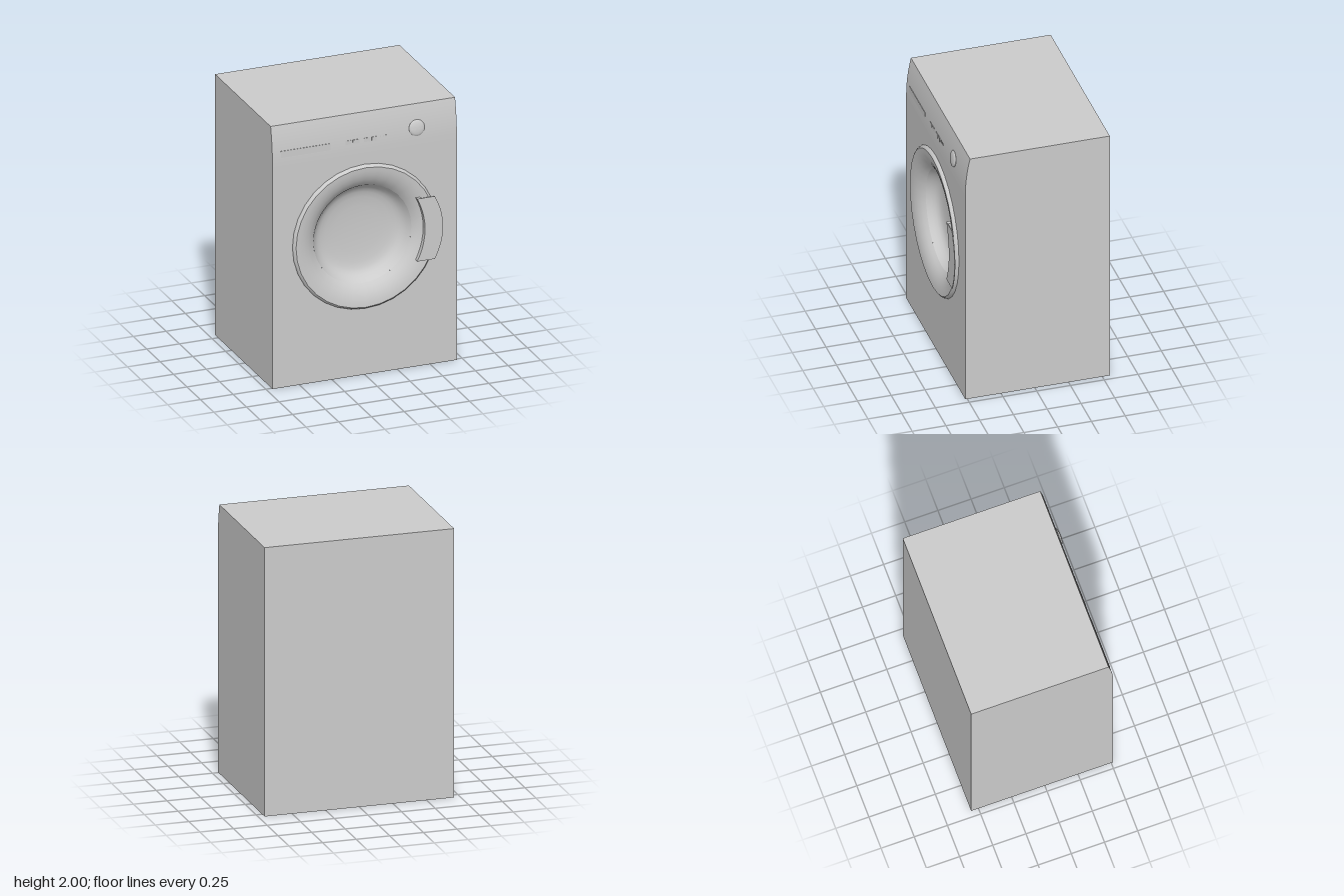
import * as THREE from 'three';
import { toCreasedNormals } from 'three/addons/utils/BufferGeometryUtils.js';

const HALF_W = 0.705, FRONT = 0.515, BACK = -0.555, HEIGHT = 2, CURVE_Y = 1.7;
const DOOR_Y = 1.06;

const grey = new THREE.MeshStandardMaterial({ color: 0xcccccc });
const greyDouble = new THREE.MeshStandardMaterial({ color: 0xcccccc, side: THREE.DoubleSide });

const v2 = (points) => points.map(([a, b]) => new THREE.Vector2(a, b));

function add(parent, name, geometry, x = 0, y = 0, z = 0, material = grey) {
  const mesh = new THREE.Mesh(geometry, material);
  mesh.name = name;
  mesh.position.set(x, y, z);
  parent.add(mesh);
  return mesh;
}

// Round part facing +z, from [radius, z] pairs
function turned(points, segments, crease) {
  const lathe = new THREE.LatheGeometry(v2(points), segments).rotateX(Math.PI / 2);
  return toCreasedNormals(lathe, crease);
}

// Cabinet walls swept across the width along a [z, y] profile
function sweepX(profile) {
  const positions = [];
  for (let i = 0; i < profile.length - 1; i++) {
    const [az, ay] = profile[i], [bz, by] = profile[i + 1];
    positions.push(-HALF_W, ay, az, HALF_W, ay, az, HALF_W, by, bz);
    positions.push(-HALF_W, ay, az, HALF_W, by, bz, -HALF_W, by, bz);
  }
  const geometry = new THREE.BufferGeometry();
  geometry.setAttribute('position', new THREE.Float32BufferAttribute(positions, 3));
  return toCreasedNormals(geometry, 0.4);
}

function createCabinet() {
  const cabinet = new THREE.Group();
  cabinet.name = 'cabinet';

  // Control fascia leans back in a gentle curve towards the top
  const profile = [];
  for (let i = 0; i <= 8; i++) {
    const t = i / 8;
    profile.push([FRONT - 0.035 * t * t, CURVE_Y + (HEIGHT - CURVE_Y) * t]);
  }
  profile.push([BACK, HEIGHT], [BACK, 0], [FRONT, 0]);
  add(cabinet, 'cabinetShell', sweepX(profile));

  // Side walls
  const side = new THREE.ShapeGeometry(new THREE.Shape(v2(profile))).rotateY(-Math.PI / 2);
  add(cabinet, 'rightWall', side, -HALF_W, 0, 0, greyDouble);
  add(cabinet, 'leftWall', side, HALF_W, 0, 0, greyDouble);

  // Front panel with the door opening
  const panel = new THREE.Shape(v2([[-HALF_W, 0], [HALF_W, 0], [HALF_W, CURVE_Y], [-HALF_W, CURVE_Y]]));
  panel.holes.push(new THREE.Path().absarc(0, DOOR_Y, 0.53, 0, Math.PI * 2, true));
  add(cabinet, 'frontPanel', new THREE.ShapeGeometry(panel, 32), 0, 0, FRONT);
  return cabinet;
}

// Handle outline: straight ends with bowed inner and outer edges
function handleShape(outerEnd, outerBow) {
  const h = 0.24;
  const shape = new THREE.Shape();
  shape.moveTo(0.385, -h);
  shape.lineTo(outerEnd, -h);
  shape.quadraticCurveTo(outerBow * 2 - outerEnd, 0, outerEnd, h);
  shape.lineTo(0.385, h);
  shape.quadraticCurveTo(0.505, 0, 0.385, -h);
  return shape;
}

function createDoor() {
  const door = new THREE.Group();
  door.name = 'door';
  door.position.y = DOOR_Y;

  // Rim and funnel that rolls inwards
  const ring = [[0.553, 0.5], [0.553, 0.518], [0.546, 0.532], [0.535, 0.54],
    [0.505, 0.537], [0.47, 0.529], [0.435, 0.516], [0.4, 0.495], [0.375, 0.472]];
  add(door, 'doorRing', turned(ring, 32, 0.5));

  // Glass bowl
  const bowl = [[0.375, 0.472], [0.355, 0.44], [0.335, 0.416], [0.315, 0.4], [0.29, 0.389],
    [0.25, 0.38], [0.18, 0.373], [0.09, 0.369], [0, 0.368]];
  add(door, 'doorGlass', turned(bowl, 48, 0.9));

  // Grip plate and the block that carries it
  const extrude = (shape, depth) =>
    new THREE.ExtrudeGeometry(shape, { depth, bevelEnabled: false, curveSegments: 10 });
  add(door, 'handlePlate', extrude(handleShape(0.52, 0.583), 0.005), 0, 0, 0.551);
  add(door, 'handleBlock', extrude(handleShape(0.415, 0.47), 0.031), 0, 0, 0.52);
  return door;
}

function createControls() {
  const controls = new THREE.Group();
  controls.name = 'controls';

  // Drawer front and buttons: [name, left x, right x, height]
  const inserts = [
    ['detergentDrawer', -0.64, -0.26, 0.05],
    ['button', -0.145, -0.105, 0.03], ['button', -0.09, -0.04, 0.03],
    ['button', -0.005, 0.04, 0.03], ['button', 0.055, 0.09, 0.03],
    ['indicator', 0.118, 0.126, 0.012], ['indicator', 0.14, 0.148, 0.012],
    ['indicator', 0.16, 0.168, 0.012],
  ];
  for (const [name, x0, x1, h] of inserts) {
    const box = new THREE.BoxGeometry(x1 - x0, h, 0.03);
    add(controls, name, box, (x0 + x1) / 2, 1.811 - h / 2, 0.4985);
  }

  // Domed dial, tilted with the fascia
  const dial = [[0.06, -0.015], [0.06, 0.006], [0.056, 0.01], [0.045, 0.014],
    [0.03, 0.017], [0.015, 0.0185], [0, 0.019]];
  add(controls, 'dial', turned(dial, 32, 0.6), 0.4, 1.826, 0.505).rotation.x = -0.14;
  return controls;
}

export function createModel() {
  const model = new THREE.Group();
  model.name = 'washingMachine';
  model.add(createCabinet(), createDoor(), createControls());
  return model;
}
